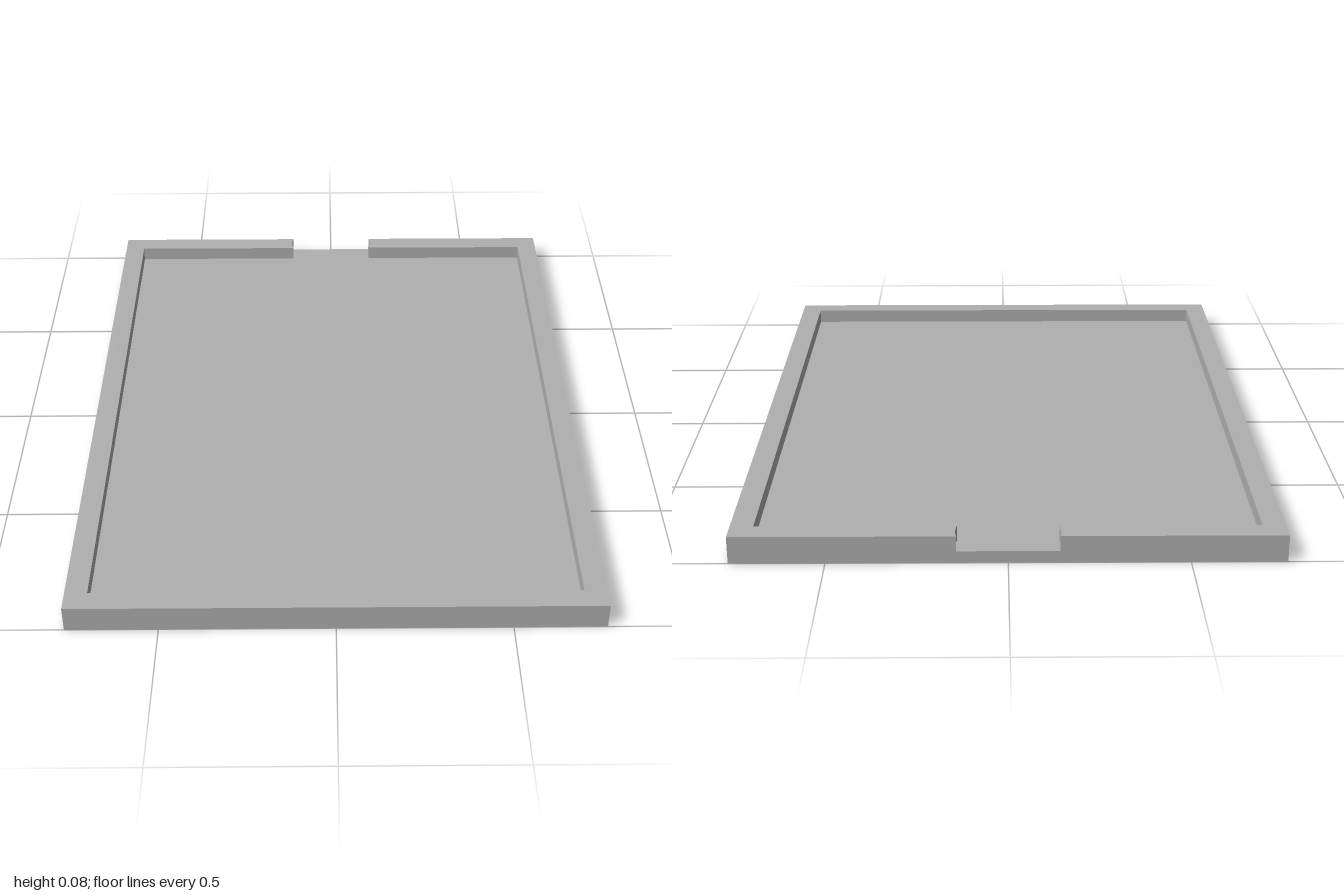
import * as THREE from 'three';

const HALF_X = 0.765, HALF_Z = 1, HEIGHT = 0.08, FLOOR = 0.035;
const IN_X = 0.70, IN_Z = 0.935;          // inner edge of the rim
const NOTCH_R = 0.145, NOTCH_Z = 0.97;    // round finger notch in the back rim

export function createModel() {
  const model = new THREE.Group();
  model.name = 'tray';
  const grey = new THREE.MeshStandardMaterial({ color: 0xb0b0b0 });
  grey.name = 'grey';

  // Floor slab
  const floor = new THREE.Mesh(new THREE.BoxGeometry(HALF_X * 2, FLOOR, HALF_Z * 2), grey);
  floor.name = 'floor';
  floor.position.y = FLOOR / 2;
  model.add(floor);

  // Rim outline, drawn with the back edge at +y, open at the notch
  const outerA = Math.asin((HALF_Z - NOTCH_Z) / NOTCH_R);
  const innerA = Math.asin((IN_Z - NOTCH_Z) / NOTCH_R);
  const shape = new THREE.Shape();
  shape.moveTo(-HALF_X, HALF_Z);
  shape.lineTo(-HALF_X, -HALF_Z);
  shape.lineTo(HALF_X, -HALF_Z);
  shape.lineTo(HALF_X, HALF_Z);
  shape.absarc(0, NOTCH_Z, NOTCH_R, outerA, innerA, true);
  shape.lineTo(IN_X, IN_Z);
  shape.lineTo(IN_X, -IN_Z);
  shape.lineTo(-IN_X, -IN_Z);
  shape.lineTo(-IN_X, IN_Z);
  shape.absarc(0, NOTCH_Z, NOTCH_R, Math.PI - innerA, Math.PI - outerA, true);
  shape.closePath();

  const rimGeometry = new THREE.ExtrudeGeometry(shape, {
    depth: HEIGHT - FLOOR, bevelEnabled: false, curveSegments: 6,
  });
  rimGeometry.rotateX(-Math.PI / 2);
  const rim = new THREE.Mesh(rimGeometry, grey);
  rim.name = 'rim';
  rim.position.y = FLOOR;
  model.add(rim);

  return model;
}
